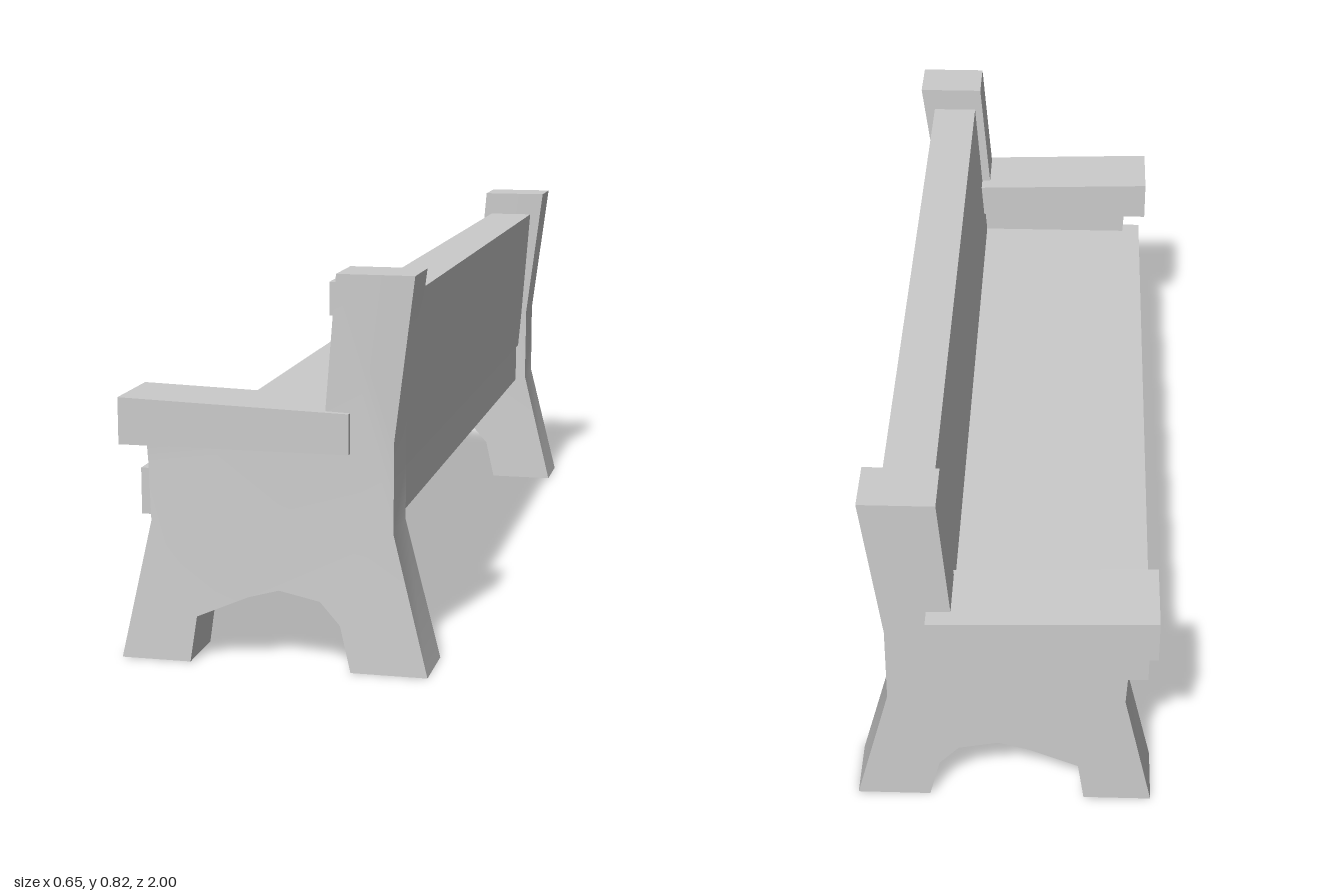
import * as THREE from 'three';
import { toCreasedNormals } from 'three/addons/utils/BufferGeometryUtils.js';

const material = new THREE.MeshStandardMaterial({ color: 0xcccccc, side: THREE.DoubleSide });

// Side profile (x, y) extruded along z from z0, open underneath;
// thickness is a function of the height y
function prism(name, profile, z0, thickness) {
  const shape = new THREE.Shape(profile.map(([x, y]) => new THREE.Vector2(x, y)));
  const pos = new THREE.ExtrudeGeometry(shape, { depth: 1, bevelEnabled: false }).attributes.position;
  const base = Math.min(...profile.map(([, y]) => y)) + 0.001;
  const kept = [];
  for (let i = 0; i < pos.count; i += 3) {
    if (Math.max(pos.getY(i), pos.getY(i + 1), pos.getY(i + 2)) < base) continue;
    for (let k = i; k < i + 3; k++) {
      kept.push(pos.getX(k), pos.getY(k), z0 + pos.getZ(k) * thickness(pos.getY(k)));
    }
  }
  const geometry = new THREE.BufferGeometry();
  geometry.setAttribute('position', new THREE.Float32BufferAttribute(kept, 3));
  const mesh = new THREE.Mesh(toCreasedNormals(geometry, 0.6), material);
  mesh.name = name;
  return mesh;
}

// End panels are splayed at the feet and slimmest at the waist
const panelThickness = (y) => (y < 0.415
  ? THREE.MathUtils.lerp(0.14, 0.117, y / 0.415)
  : THREE.MathUtils.lerp(0.117, 0.125, (y - 0.415) / 0.405));

// Legs, arch and back post in one outline
const panelProfile = [
  [-0.326, 0], [-0.177, 0], [-0.163, 0.097], [-0.052, 0.145], [0.013, 0.163],
  [0.1, 0.145], [0.143, 0.097], [0.166, 0], [0.327, 0], [0.252, 0.295],
  [0.252, 0.415], [0.252, 0.48], [0.296, 0.822], [0.135, 0.822], [0.105, 0.48],
  [-0.271, 0.465], [-0.268, 0.415], [-0.262, 0.295],
];

const armProfile = [[-0.326, 0.456], [0.162, 0.456], [0.162, 0.54], [-0.326, 0.555]];
const seatProfile = [[-0.313, 0.285], [0.225, 0.285], [0.225, 0.385], [-0.313, 0.385]];
const backProfile = [[0.12, 0.385], [0.231, 0.385], [0.261, 0.764], [0.15, 0.764]];

export function createModel() {
  const bench = new THREE.Group();
  bench.name = 'bench';

  // Both ends are the same, shifted along z
  for (const [name, z] of [['leftEnd', 0.86], ['rightEnd', -0.96]]) {
    const end = new THREE.Group();
    end.name = name;
    end.add(
      prism('endPanel', panelProfile, z, panelThickness),
      prism('armrest', armProfile, z - 0.04, () => 0.175),
    );
    bench.add(end);
  }

  // Seat plank and leaning backrest, let into the end panels
  bench.add(
    prism('seat', seatProfile, -0.88, () => 1.775),
    prism('backrest', backProfile, -0.88, () => 1.775),
  );
  return bench;
}
